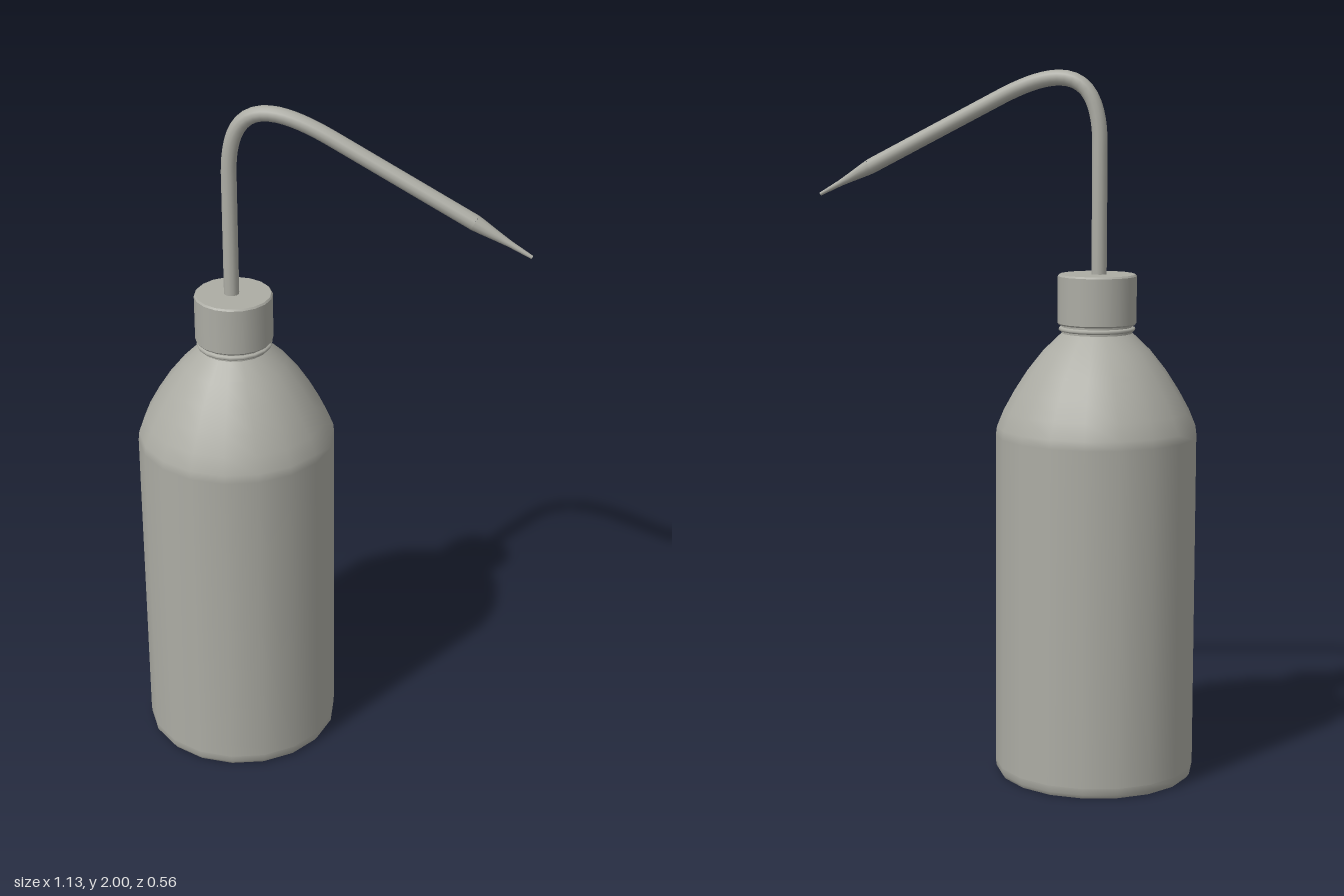
import * as THREE from 'three';

const AXIS_X = -0.28;

export function createModel() {
  const model = new THREE.Group();
  model.name = 'washBottle';
  const plastic = new THREE.MeshStandardMaterial({ color: 0xacaca4 });
  plastic.name = 'grey plastic';

  function add(name, geometry, parent = model) {
    const mesh = new THREE.Mesh(geometry, plastic);
    mesh.name = name;
    parent.add(mesh);
    return mesh;
  }

  // Each profile is a smooth run; separate runs meet in a sharp edge.
  function turned(name, sides, profiles) {
    const group = new THREE.Group();
    group.name = name;
    for (const profile of profiles) {
      const points = profile.map(([r, y]) => new THREE.Vector2(r, y));
      add(name + 'Surface', new THREE.LatheGeometry(points, sides, Math.PI / 2), group);
    }
    model.add(group);
    return group;
  }

  // Bottle: base, wall, domed shoulder and neck
  turned('bottle', 18, [
    [[0, 0], [0.275, 0]],
    [[0.275, 0], [0.283, 0.012], [0.284, 0.03]],
    [[0.284, 0.03], [0.284, 0.98], [0.281, 1.005], [0.262, 1.052], [0.232, 1.107],
      [0.195, 1.165], [0.15, 1.222], [0.1, 1.27]],
    [[0.1, 1.27], [0.1, 1.3]],
  ]).position.x = AXIS_X;

  // Thin collar below the cap
  turned('neckRing', 18, [
    [[0.096, 1.274], [0.106, 1.277], [0.108, 1.281], [0.106, 1.286], [0.096, 1.289]],
  ]).position.x = AXIS_X;

  // Screw cap with slightly softened rims
  turned('cap', 18, [
    [[0, 1.294], [0.108, 1.294]],
    [[0.108, 1.294], [0.111, 1.298]],
    [[0.111, 1.298], [0.111, 1.43]],
    [[0.111, 1.43], [0.107, 1.435]],
    [[0.107, 1.435], [0, 1.435]],
  ]).position.x = AXIS_X;

  // Bent spout tube
  const v = (x, y) => new THREE.Vector3(x, y, 0);
  const path = new THREE.CurvePath();
  path.add(new THREE.LineCurve3(v(-0.285, 1.42), v(-0.285, 1.79)));
  path.add(new THREE.CubicBezierCurve3(v(-0.285, 1.79), v(-0.285, 2.008), v(-0.17, 2.01), v(0, 1.927)));
  path.add(new THREE.LineCurve3(v(0, 1.927), v(0.4, 1.726)));
  add('spoutTube', new THREE.TubeGeometry(path, 56, 0.022, 12));

  // Tapered nozzle with a closed tip
  const nozzle = turned('nozzle', 12, [
    [[0.022, 0], [0.02, 0.02], [0.013, 0.075], [0.009, 0.11], [0.005, 0.179]],
    [[0.005, 0.179], [0, 0.179]],
  ]);
  nozzle.position.set(0.4, 1.726, 0);
  nozzle.rotation.z = -(Math.PI / 2 + 0.48);

  return model;
}
